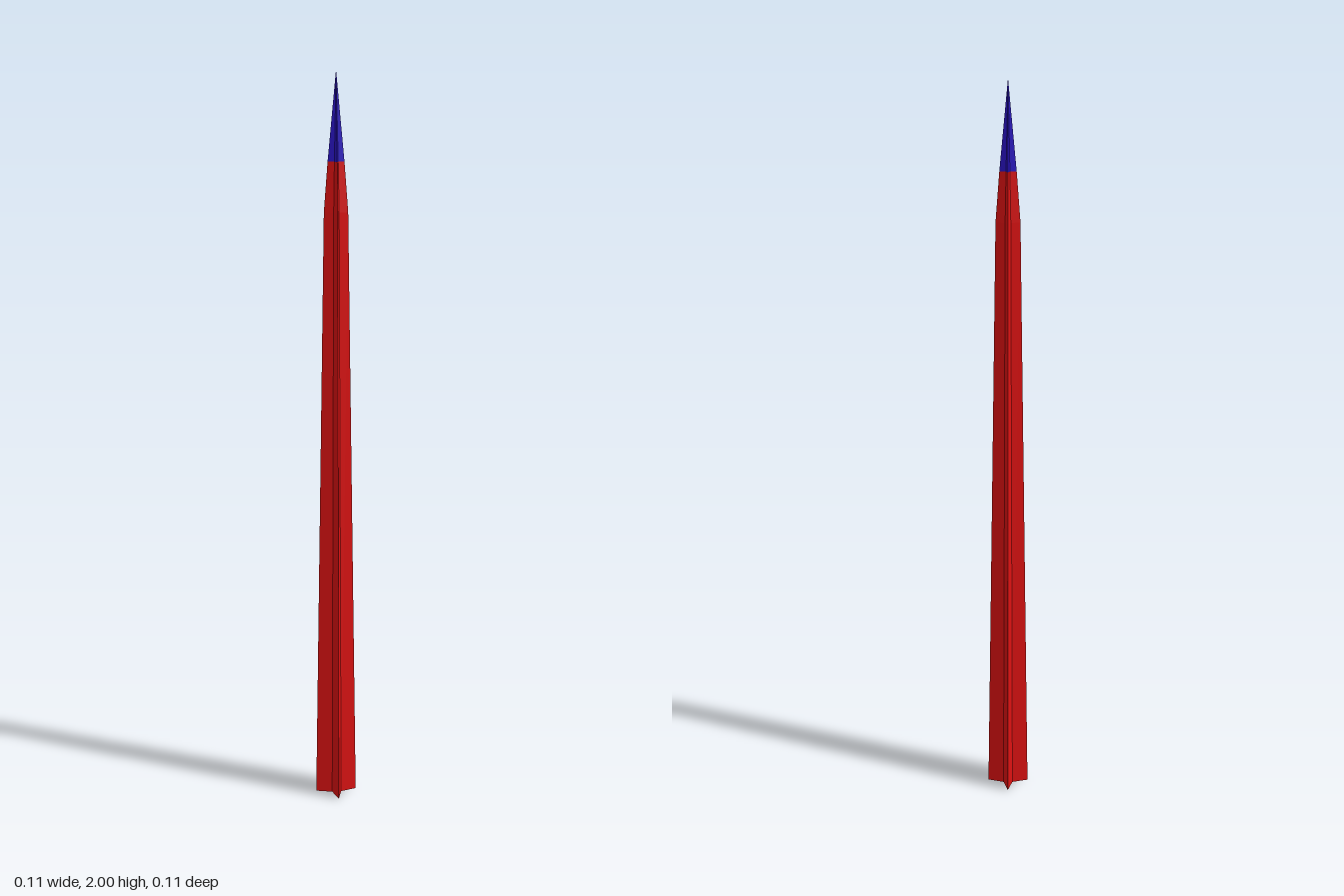
import * as THREE from 'three';

// Ring of the four-pointed star section: points on the axes, notches between them
function starRing(radius, y) {
  return Array.from({ length: 8 }, (_, i) => {
    const a = (i * Math.PI) / 4;
    const r = i % 2 ? radius * 0.32 : radius;
    return [Math.cos(a) * r, y, Math.sin(a) * r];
  });
}

// Skin stacked star sections, given as [radius, height] from bottom to top
function starLoft(name, levels, color) {
  const rings = levels.map(([r, y]) => starRing(r, y));
  const pos = [];
  for (let k = 0; k < rings.length - 1; k++) {
    for (let i = 0; i < 8; i++) {
      const j = (i + 1) % 8;
      const [a, b, c, d] = [rings[k][i], rings[k][j], rings[k + 1][j], rings[k + 1][i]];
      pos.push(...a, ...d, ...b);
      if (levels[k + 1][0] > 0) pos.push(...b, ...d, ...c);
    }
  }
  const geo = new THREE.BufferGeometry();
  geo.setAttribute('position', new THREE.Float32BufferAttribute(pos, 3));
  geo.computeVertexNormals();
  const mat = new THREE.MeshStandardMaterial({ color, flatShading: true, side: THREE.DoubleSide });
  const mesh = new THREE.Mesh(geo, mat);
  mesh.name = name;
  return mesh;
}

export function createModel() {
  const red = 0xdd1212, blue = 0x2a14c4;
  const group = new THREE.Group();
  group.name = 'starSpike';

  // Tapering fluted shaft with a shoulder near the top
  group.add(starLoft('shaft', [[0.057, 0], [0.032, 1.64], [0.022, 1.77]], red));
  // Pointed tip
  group.add(starLoft('tip', [[0.022, 1.77], [0, 2]], blue));
  // Slightly recessed base plate
  group.add(starLoft('basePlate', [[0.056, 0.008], [0, 0.0081]], blue));
  return group;
}
